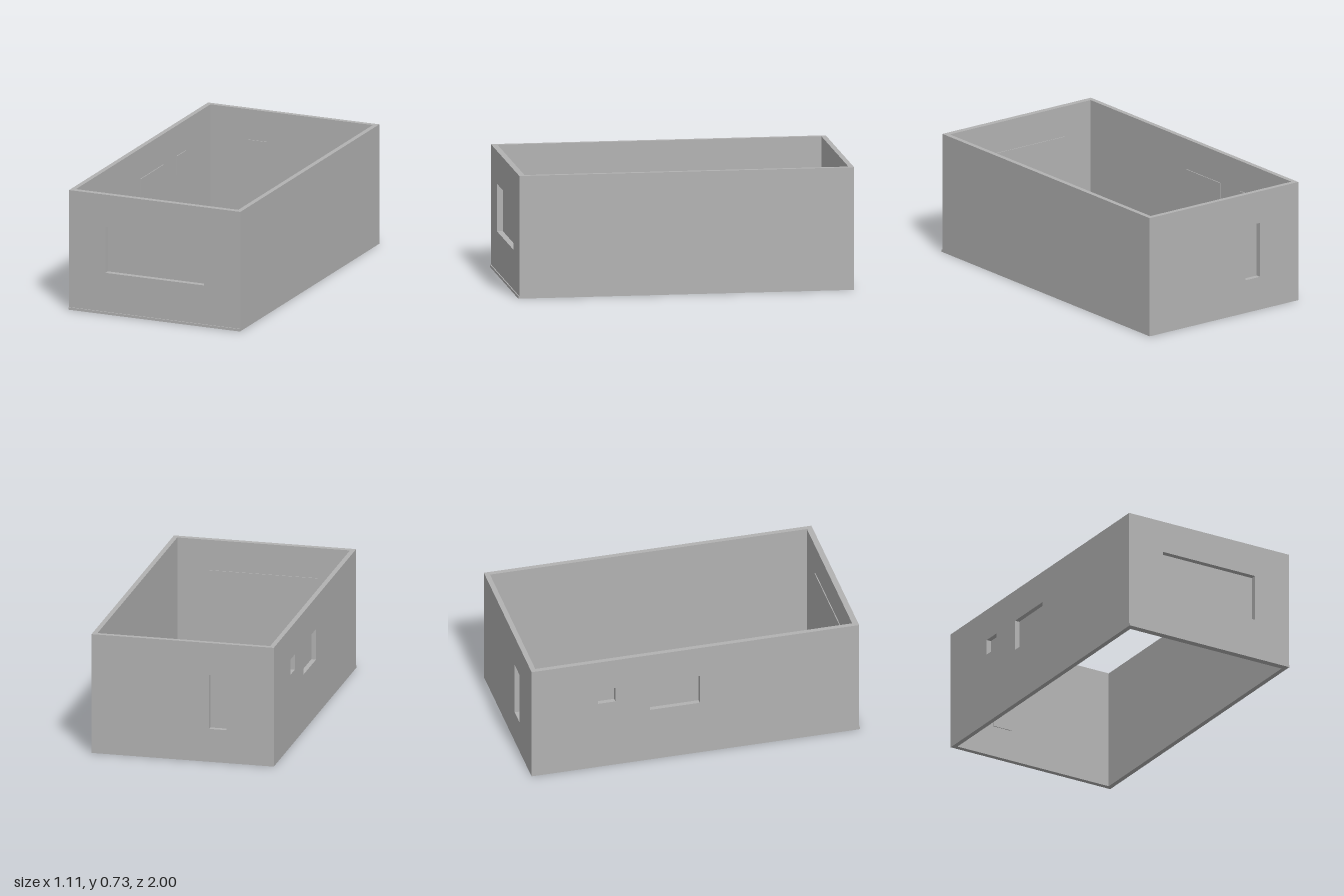
import * as THREE from 'three';

const W = 0.553, H = 0.733, BACK = -0.97, FRONT = 0.959;
const LIP = 0.01, PLATE = 0.005, TOP = 0.537;

const plaster = new THREE.MeshStandardMaterial({ color: 0xb2b2b2 });
plaster.name = 'plaster grey';

function rect(Type, x0, x1, y0, y1) {
  const p = new Type();
  p.moveTo(x0, y0).lineTo(x1, y0).lineTo(x1, y1).lineTo(x0, y1).closePath();
  return p;
}

// Wall with its inner face on local z = 0 and its outside towards local +z.
// Each opening is [name, x0, x1, y0], closed by a thin plate on the inside.
function wall(name, x0, x1, thickness, openings = []) {
  const group = new THREE.Group();
  group.name = name;
  const shape = rect(THREE.Shape, x0, x1, 0, H);
  for (const [label, a, b, y] of openings) {
    shape.holes.push(rect(THREE.Path, a, b, y, TOP));
    const plate = new THREE.Mesh(
      new THREE.BoxGeometry(b - a + 2 * LIP, TOP - y + 2 * LIP, PLATE), plaster);
    plate.position.set((a + b) / 2, (y + TOP) / 2, -PLATE / 2);
    plate.name = label;
    group.add(plate);
  }
  const body = new THREE.Mesh(
    new THREE.ExtrudeGeometry(shape, { depth: thickness, bevelEnabled: false }), plaster);
  body.name = name + 'Body';
  group.add(body);
  return group;
}

export function createModel() {
  const model = new THREE.Group();
  model.name = 'roomShell';

  // Front wall with the wide window
  const front = wall('frontWall', -W, W, 0.035, [['wideWindow', -0.318, 0.318, 0.253]]);
  front.position.z = FRONT;

  // Back wall with the tall narrow window (local x is mirrored)
  const back = wall('backWall', -W, W, 0.03, [['tallWindow', 0.161, 0.267, 0.203]]);
  back.rotation.y = Math.PI;
  back.position.z = BACK;

  // Side wall with two windows; local x runs along +z
  const right = wall('windowSideWall', BACK, FRONT, 0.029, [
    ['smallWindow', -0.597, -0.49, 0.443],
    ['largeWindow', -0.28, 0.024, 0.348],
  ]);
  right.rotation.y = -Math.PI / 2;
  right.position.x = -0.524;

  // Plain side wall; local x runs along -z
  const left = wall('plainSideWall', -FRONT, -BACK, 0.029);
  left.rotation.y = Math.PI / 2;
  left.position.x = 0.524;

  // Low ledge along the foot of the front wall
  const ledge = new THREE.Mesh(new THREE.BoxGeometry(2 * W, 0.015, 0.006), plaster);
  ledge.position.set(0, 0.0075, 0.997);
  ledge.name = 'frontLedge';

  model.add(front, back, right, left, ledge);
  return model;
}
